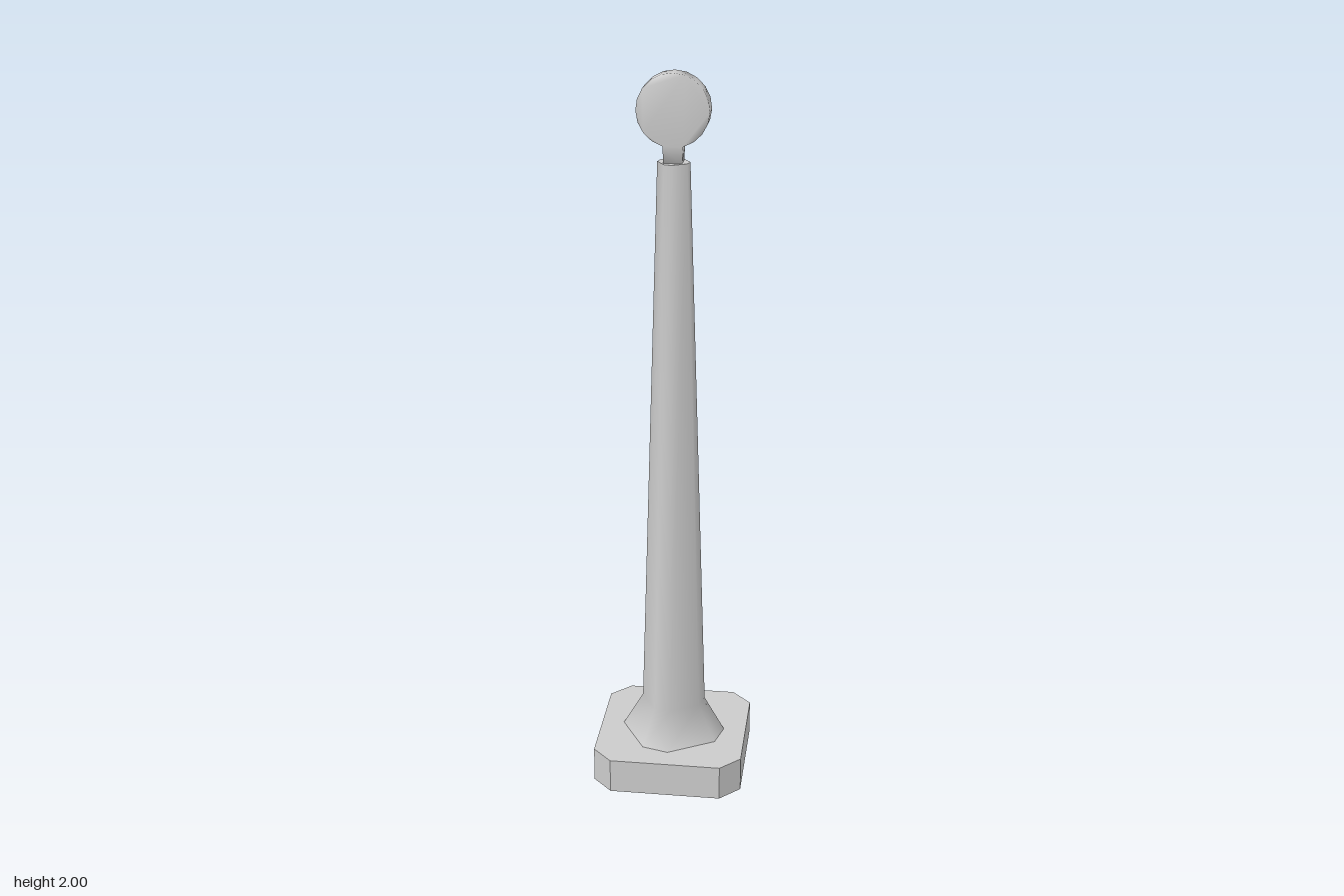
import * as THREE from 'three';
import { mergeVertices } from 'three/addons/utils/BufferGeometryUtils.js';

const material = new THREE.MeshStandardMaterial({ color: 0xcccccc });

function addPart(group, name, geometry) {
  const mesh = new THREE.Mesh(geometry, material);
  mesh.name = name;
  group.add(mesh);
}

// Horizontal prism ends: a shape drawn in x and -z, laid flat
const layFlat = (geometry, y) => geometry.rotateX(-Math.PI / 2).translate(0, y, 0);

export function createModel() {
  const group = new THREE.Group();

  // Square plinth with cut corners
  const h = 0.21, c = 0.155;
  const plinth = new THREE.Shape(
    [[h, -c], [h, c], [c, h], [-c, h], [-h, c], [-h, -c], [-c, -h], [c, -h]]
      .map(([x, y]) => new THREE.Vector2(x, y)));
  addPart(group, 'plinth', layFlat(
    new THREE.ExtrudeGeometry(plinth, { depth: 0.1, bevelEnabled: false }), 0));

  // Tapered post with a flared foot; its eight sides alternate narrow and wide
  const angles = [0, 30, 90, 120, 180, 210, 270, 300].map(THREE.MathUtils.degToRad);
  const rings = [[0.147, 0.1], [0.09, 0.2], [0.043, 1.77]];
  const n = angles.length;
  const positions = [], index = [];
  rings.forEach(([r, y], k) => angles.forEach((a, i) => {
    positions.push(r * Math.cos(a), y, r * Math.sin(a));
    if (k === rings.length - 1) return;
    const p = k * n + i, q = k * n + (i + 1) % n;
    index.push(q, p, p + n, q, p + n, q + n);
  }));
  const post = new THREE.BufferGeometry();
  post.setAttribute('position', new THREE.Float32BufferAttribute(positions, 3));
  post.setIndex(index);
  post.computeVertexNormals();
  addPart(group, 'post', post);

  // Flat top of the post
  const [topRadius, topY] = rings[rings.length - 1];
  const cap = new THREE.Shape(angles.map(a =>
    new THREE.Vector2(topRadius * Math.cos(a), -topRadius * Math.sin(a))));
  addPart(group, 'postTop', layFlat(new THREE.ShapeGeometry(cap), topY));

  // Upright disc on a short neck, softly shaded
  const radius = 0.095, centreY = 1.905, half = 0.024, steps = 18;
  const start = -Math.PI / 2 + 0.28, sweep = 2 * Math.PI - 0.56;
  const outline = [new THREE.Vector2(-half, 1.765), new THREE.Vector2(half, 1.765)];
  for (let i = 0; i <= steps; i++) {
    const a = start + sweep * i / steps;
    outline.push(new THREE.Vector2(radius * Math.cos(a), centreY + radius * Math.sin(a)));
  }
  let finial = new THREE.ExtrudeGeometry(new THREE.Shape(outline),
    { depth: 2 * half, bevelEnabled: false }).translate(0, 0, -half);
  finial.deleteAttribute('uv');
  finial.deleteAttribute('normal');
  finial = mergeVertices(finial);
  finial.computeVertexNormals();
  addPart(group, 'finialDisc', finial);

  return group;
}
